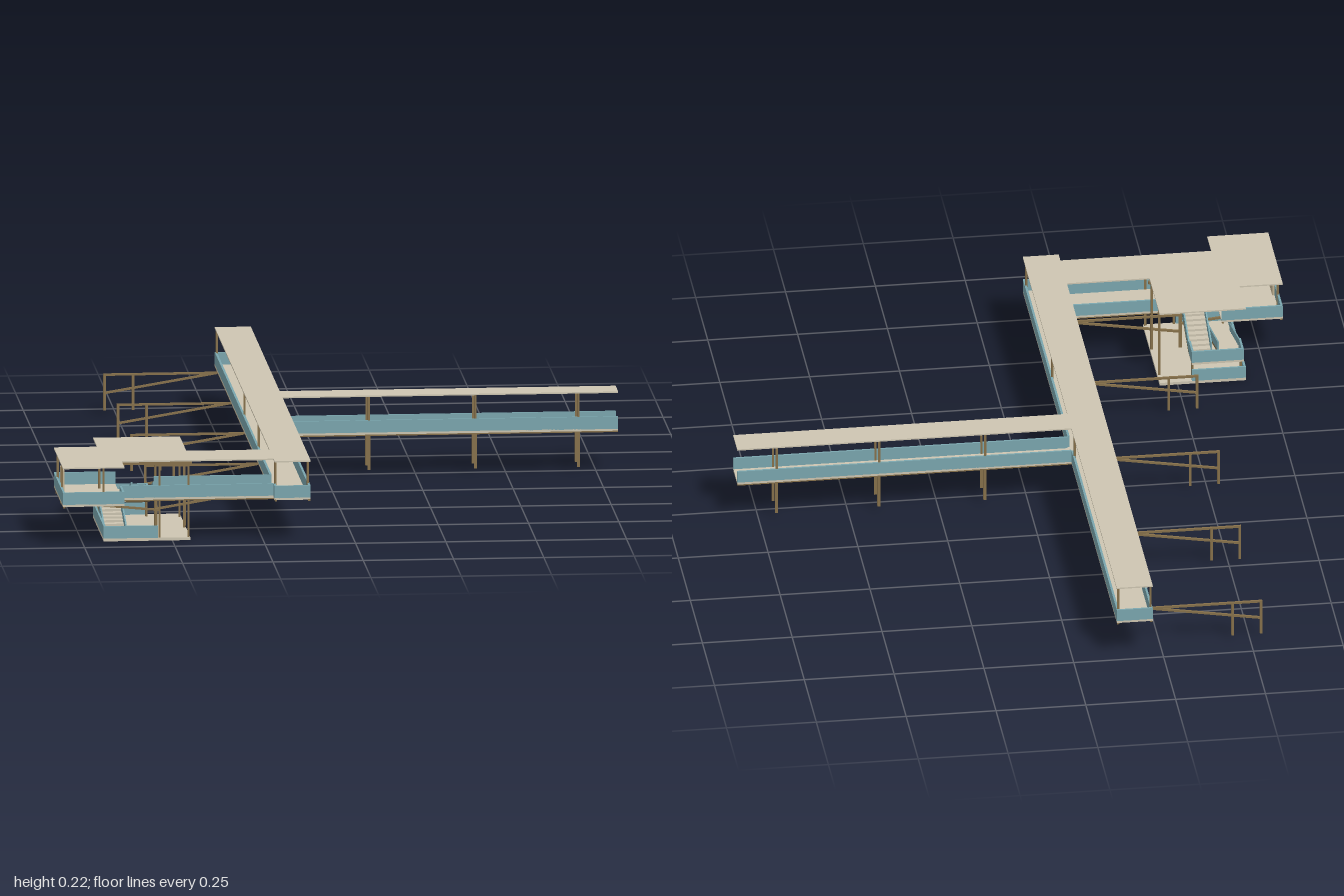
import * as THREE from 'three';

const mat = (name, color) => {
  const m = new THREE.MeshStandardMaterial({ color });
  m.name = name;
  return m;
};

export function createModel() {
  const model = new THREE.Group();
  const slabTan = mat('slabTan', 0xcdc5b1);
  const boardTan = mat('boardTan', 0xc2b292);
  const teal = mat('panelTeal', 0x7aa6ae);
  const brown = mat('steelBrown', 0x86704a);

  // Box given by its limits on each axis
  const box = (name, m, x0, x1, y0, y1, z0, z1, parent = model) => {
    const mesh = new THREE.Mesh(new THREE.BoxGeometry(x1 - x0, y1 - y0, z1 - z0), m);
    mesh.position.set((x0 + x1) / 2, (y0 + y1) / 2, (z0 + z1) / 2);
    mesh.name = name;
    parent.add(mesh);
  };
  // Straight square bar between two points
  const bar = (name, a, b, t = 0.006) => {
    const p = new THREE.Vector3(...a), q = new THREE.Vector3(...b);
    const mesh = new THREE.Mesh(new THREE.BoxGeometry(t, t, p.distanceTo(q)), brown);
    mesh.position.copy(p).add(q).multiplyScalar(0.5);
    mesh.lookAt(q);
    mesh.name = name;
    model.add(mesh);
  };
  const post = (name, x, z, y0, y1, t = 0.006) =>
    box(name, brown, x - t / 2, x + t / 2, y0, y1, z - t / 2, z + t / 2);
  // Parapet panels running along x or along z
  const T = 0.003;
  const panelX = (x0, x1, z, y = 0.12, h = 0.035) => box('parapet', teal, x0, x1, y, y + h, z - T, z + T);
  const panelZ = (z0, z1, x, y = 0.12, h = 0.035) => box('parapet', teal, x - T, x + T, y, y + h, z0, z1);

  // Roofs: [x0, x1, z0, z1]
  for (const [x0, x1, z0, z1] of [
    [-0.22, -0.12, -1, 0.95],
    [-0.12, 0.81, -0.06, 0.025],
    [-0.45, -0.22, 0.78, 0.915],
    [-0.69, -0.45, 0.57, 0.915],
    [-0.81, -0.69, 0.70, 0.915],
    [-0.81, -0.64, 0.915, 1],
  ]) box('roof', slabTan, x0, x1, 0.221, 0.225, z0, z1);

  // Beams below the platform roof
  for (const z of [0.77, 0.91]) bar('roofBeam', [-0.808, 0.217, z], [-0.445, 0.217, z], 0.008);

  // Walkway decks with slim steel beams along their long edges
  for (const [x0, x1, z0, z1] of [
    [-0.22, -0.12, -1, 0.95],
    [-0.12, 0.81, -0.06, 0.025],
    [-0.64, -0.22, 0.78, 0.915],
    [-0.81, -0.64, 0.70, 1],
  ]) {
    box('deck', slabTan, x0, x1, 0.115, 0.121, z0, z1);
    if (x1 - x0 > z1 - z0) {
      for (const z of [z0 + 0.004, z1 - 0.004]) bar('deckBeam', [x0, 0.114, z], [x1, 0.114, z]);
    } else {
      for (const x of [x0 + 0.004, x1 - 0.004]) bar('deckBeam', [x, 0.114, z0], [x, 0.114, z1]);
    }
  }

  // Parapets of the main walkway and its branch
  panelZ(-1, 0.78, -0.217);
  panelZ(0.915, 0.95, -0.217);
  panelZ(-1, -0.06, -0.123);
  panelZ(0.025, 0.95, -0.123);
  panelX(-0.22, -0.12, 0.947);
  panelX(-0.22, -0.12, -0.997);
  panelX(-0.12, 0.81, -0.057);
  panelX(-0.12, 0.81, 0.022);
  // Parapets of the end platform
  panelX(-0.54, -0.22, 0.783);
  panelX(-0.64, -0.22, 0.912);
  panelX(-0.81, -0.64, 0.997);
  panelX(-0.81, -0.64, 0.703);
  panelZ(0.70, 1, -0.807);
  panelZ(0.915, 1, -0.643);

  // Roof posts
  for (const z of [0.915, 0.375, -0.09, -0.99])
    for (const x of [-0.215, -0.125]) post('roofPost', x, z, 0.12, 0.222);
  for (const x of [0.12, 0.415, 0.70])
    for (const z of [-0.055, 0.02]) post('roofPost', x, z, 0.12, 0.222);
  for (const x of [-0.805, -0.69])
    for (const z of [0.77, 0.91]) post('roofPost', x, z, 0.12, 0.222);
  for (const [x, z] of [[-0.455, 0.77], [-0.455, 0.91], [-0.535, 0.77], [-0.535, 0.91], [-0.455, 0.62]])
    post('tallPost', x, z, 0.006, 0.222);

  // Columns below the branch
  for (const x of [-0.165, 0.12, 0.415, 0.70])
    for (const z of [-0.05, 0.02]) post('column', x, z, 0.015, 0.115, 0.008);

  // Side brackets: two legs, a level bar and a sloping brace
  for (const z of [-0.92, -0.48, -0.04, 0.405, 0.765]) {
    for (const x of [-0.532, -0.453]) post('bracketLeg', x, z, 0.012, 0.115, 0.007);
    bar('bracketBar', [-0.535, 0.112, z], [-0.22, 0.112, z]);
    bar('bracketBrace', [-0.535, 0.06, z], [-0.22, 0.112, z]);
  }
  for (const z of [0.765, 0.91]) bar('platformBrace', [-0.81, 0.112, z], [-0.535, 0.085, z]);

  // Lamps under the roofs
  for (const z of [0.86, 0.41, -0.01, -0.375, -0.79])
    box('lamp', brown, -0.18, -0.16, 0.215, 0.221, z - 0.008, z + 0.008);
  for (const x of [0.02, 0.32, 0.61])
    box('lamp', brown, x - 0.008, x + 0.008, 0.215, 0.221, -0.026, -0.01);

  // Notice board on the platform
  box('noticeBoard', boardTan, -0.803, -0.797, 0.125, 0.197, 0.82, 0.89);

  // Ground base and its low walls
  box('groundBase', slabTan, -0.69, -0.45, 0, 0.008, 0.57, 0.915);
  panelZ(0.57, 0.915, -0.687, 0.008, 0.034);
  panelX(-0.69, -0.54, 0.912, 0.008, 0.034);
  panelX(-0.69, -0.54, 0.573, 0.008, 0.034);

  // Stair flight: treads on a sloping steel soffit, with teal side walls
  const flight = (x0, x1, zA, yA, zB, yB) => {
    const g = new THREE.Group();
    g.name = 'stairFlight';
    model.add(g);
    const n = 9, dz = (zB - zA) / n, dy = (yB - yA) / n;
    for (let i = 0; i < n; i++) {
      const za = zA + dz * i, zb = za + dz, y = yA + dy * (i + 1);
      box('tread', slabTan, x0 + 0.004, x1 - 0.004, y - dy, y, Math.min(za, zb), Math.max(za, zb), g);
    }
    // Sloping slab between two heights above the flight line
    const slope = (name, m, x, width, low, high) => {
      const shape = new THREE.Shape([
        new THREE.Vector2(-zA, yA + low), new THREE.Vector2(-zB, yB + low),
        new THREE.Vector2(-zB, yB + high), new THREE.Vector2(-zA, yA + high),
      ]);
      const mesh = new THREE.Mesh(new THREE.ExtrudeGeometry(shape, { depth: width, bevelEnabled: false }), m);
      mesh.rotation.y = Math.PI / 2;
      mesh.position.x = x;
      mesh.name = name;
      g.add(mesh);
    };
    slope('stairSoffit', brown, x0, x1 - x0, -0.007, 0);
    for (const x of [x0, x1 - 0.004]) slope('stairWall', teal, x, 0.004, 0, 0.026);
  };
  flight(-0.685, -0.62, 0.84, 0.008, 0.64, 0.062);
  flight(-0.605, -0.54, 0.64, 0.062, 0.80, 0.118);

  // Half landing
  box('landing', slabTan, -0.685, -0.54, 0.056, 0.062, 0.575, 0.64);
  panelX(-0.685, -0.54, 0.578, 0.062, 0.034);
  panelZ(0.575, 0.64, -0.682, 0.062, 0.034);
  panelZ(0.575, 0.64, -0.543, 0.062, 0.034);
  for (const x of [-0.68, -0.545]) post('landingPost', x, 0.60, 0.008, 0.056);

  return model;
}
